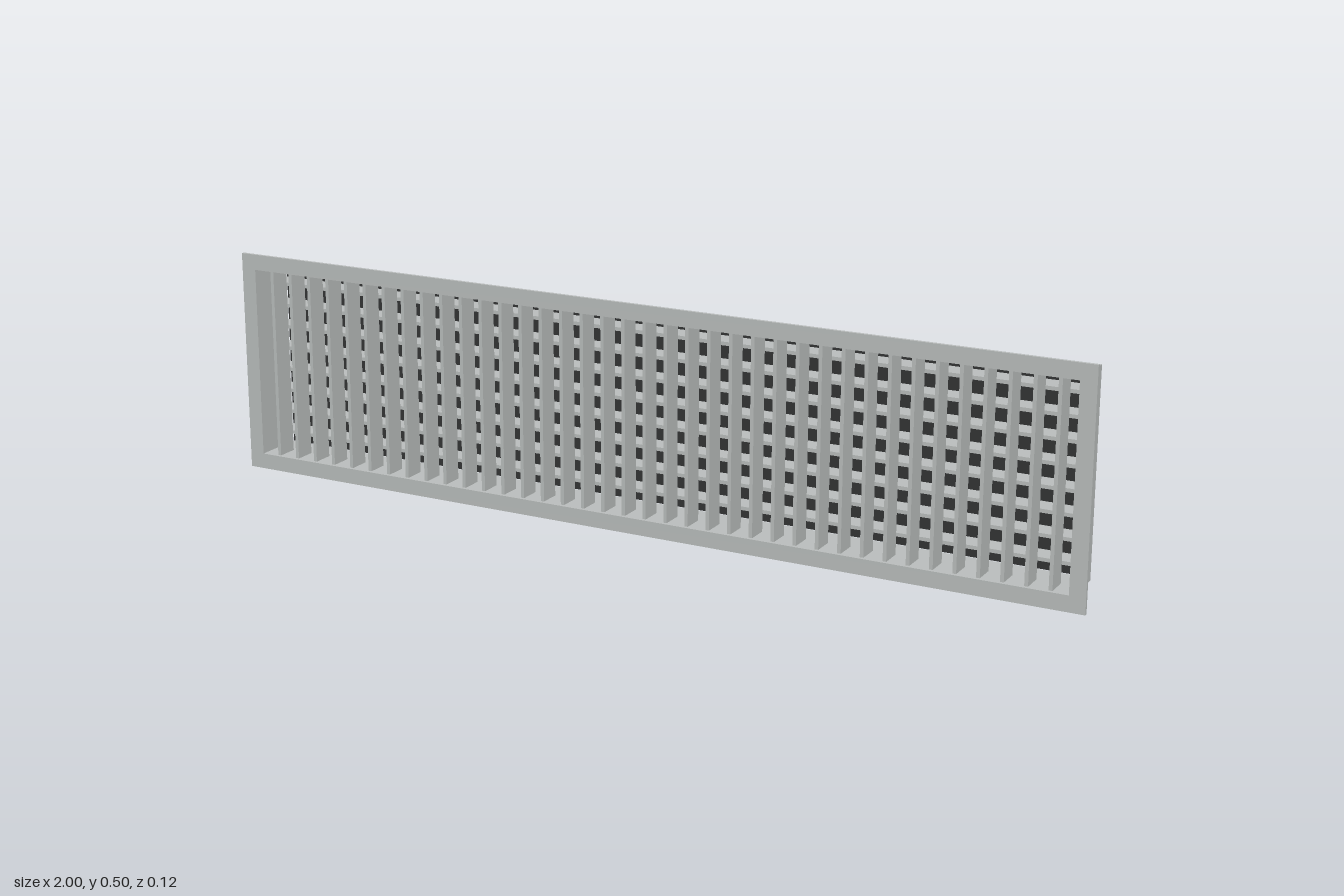
import * as THREE from 'three';

const rect = (C, w, y0, y1) => {
  const s = new C();
  s.moveTo(-w, y0);
  s.lineTo(w, y0);
  s.lineTo(w, y1);
  s.lineTo(-w, y1);
  s.closePath();
  return s;
};

// Rectangular ring from z0 to z1; w is the half width
function ring(name, outer, inner, z0, z1, material) {
  const shape = rect(THREE.Shape, ...outer);
  shape.holes.push(rect(THREE.Path, ...inner));
  const geo = new THREE.ExtrudeGeometry(shape, { depth: z1 - z0, bevelEnabled: false });
  geo.translate(0, 0, z0);
  const mesh = new THREE.Mesh(geo, material);
  mesh.name = name;
  return mesh;
}

function box(name, w, h, d, x, y, z, material) {
  const mesh = new THREE.Mesh(new THREE.BoxGeometry(w, h, d), material);
  mesh.position.set(x, y, z);
  mesh.name = name;
  return mesh;
}

export function createModel() {
  const metal = new THREE.MeshStandardMaterial({ color: 0xbbbfbe });
  metal.name = 'grey metal';
  const dark = new THREE.MeshStandardMaterial({ color: 0x333435 });
  dark.name = 'dark backing';

  const model = new THREE.Group();
  model.name = 'ventGrille';
  const opening = [0.965, 0.035, 0.467];

  // Front flange and the duct collar behind it
  model.add(ring('flange', [1, 0, 0.502], opening, 0.053, 0.06, metal));
  model.add(ring('collar', [0.97, 0.03, 0.472], opening, -0.054, 0.053, metal));

  // Vertical blades in the front half
  const vertical = new THREE.Group();
  vertical.name = 'verticalBlades';
  for (let i = 0; i < 38; i++)
    vertical.add(box('verticalBlade', 0.008, 0.432, 0.048, -0.925 + i * 0.05, 0.251, 0.028, metal));
  model.add(vertical);

  // Horizontal blades in the rear half
  const horizontal = new THREE.Group();
  horizontal.name = 'horizontalBlades';
  for (let i = 0; i < 8; i++)
    horizontal.add(box('horizontalBlade', 1.93, 0.008, 0.048, 0, 0.076 + i * 0.05, -0.026, metal));
  model.add(horizontal);

  // Dark sheet just behind the collar
  model.add(box('backPanel', 1.93, 0.432, 0.003, 0, 0.251, -0.0585, dark));
  return model;
}
